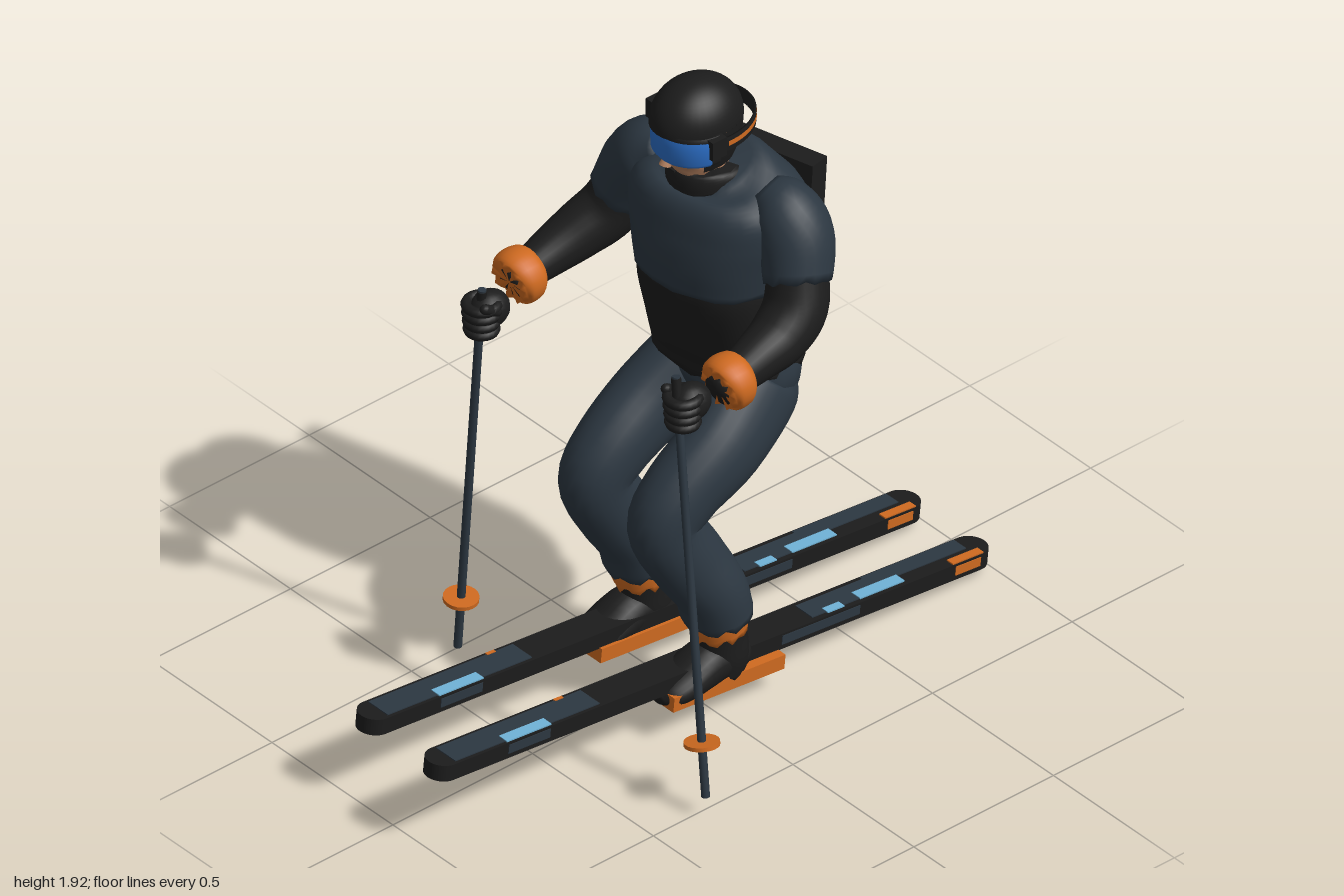
import * as THREE from 'three';

const mat = (name, color, double) => {
  const m = new THREE.MeshStandardMaterial({ color });
  m.name = name;
  if (double) m.side = THREE.DoubleSide;
  return m;
};

// Lofted tube through rings [x, y, z, sideRadius, depthRadius]; rag roughens the end edge
function loft(rings, { rag = 0, square = 2, around = 24, steps = 5 } = {}) {
  const path = new THREE.CatmullRomCurve3(rings.map(r => new THREE.Vector3(r[0], r[1], r[2])), false, 'catmullrom', 0.5);
  const size = new THREE.CatmullRomCurve3(rings.map(r => new THREE.Vector3(r[3], r[4] ?? r[3], 0)), false, 'catmullrom', 0.5);
  const n = (rings.length - 1) * steps, pos = [], idx = [];
  const soft = v => Math.sign(v) * Math.abs(v) ** (2 / square);
  for (let i = 0; i <= n; i++) {
    const c = path.getPoint(i / n), s = size.getPoint(i / n), t = path.getTangent(i / n);
    const side = new THREE.Vector3(1, 0, 0).addScaledVector(t, -t.x).normalize();
    const depth = t.clone().cross(side);
    for (let j = 0; j < around; j++) {
      const a = j / around * Math.PI * 2;
      const p = c.clone().addScaledVector(side, soft(Math.cos(a)) * s.x).addScaledVector(depth, soft(Math.sin(a)) * s.y);
      if (i === n) p.addScaledVector(t, rag * Math.sin(j * 2.3));
      pos.push(p.x, p.y, p.z);
    }
  }
  for (let i = 0; i < n; i++) for (let j = 0; j < around; j++) {
    const a = i * around + j, b = i * around + (j + 1) % around;
    idx.push(a, b, b + around, a, b + around, a + around);
  }
  const start = path.getPoint(0), end = path.getPoint(1), k = pos.length / 3;
  pos.push(start.x, start.y, start.z, end.x, end.y, end.z);
  for (let j = 0; j < around; j++) {
    const j2 = (j + 1) % around;
    idx.push(k, j2, j, k + 1, n * around + j, n * around + j2);
  }
  const g = new THREE.BufferGeometry();
  g.setAttribute('position', new THREE.Float32BufferAttribute(pos, 3));
  g.setIndex(idx);
  g.computeVertexNormals();
  return g;
}

// Curved band around the head; angle 0 faces forward
const band = (points, from, to) =>
  new THREE.LatheGeometry(points.map(p => new THREE.Vector2(...p)), 36, from, to - from);

export function createModel() {
  const model = new THREE.Group();
  model.name = 'skier';
  const slate = mat('slate cloth', 0x2c3741), black = mat('black', 0x1c1c1c, true), orange = mat('orange', 0xcf6a20, true);
  const blue = mat('lens blue', 0x2c6fc8, true), pale = mat('pale blue', 0x6fb2d6), skin = mat('skin', 0xb07d5c);
  const add = (parent, name, geo, material, x = 0, y = 0, z = 0) => {
    const m = new THREE.Mesh(geo, material);
    m.name = name;
    m.position.set(x, y, z);
    parent.add(m);
    return m;
  };
  const group = (name, x, y, z) => {
    const g = new THREE.Group();
    g.name = name;
    g.position.set(x, y, z);
    model.add(g);
    return g;
  };

  // Skis, with coloured patches [material, z, length, x, width]
  const half = 0.05, thick = 0.05;
  const patches = [[slate, 0.68, 0.52, 0, 0.08], [slate, -0.76, 0.34, -0.02, 0.05], [slate, -0.5, 0.3, 0, 0.07],
    [pale, 0.68, 0.16, 0.03, 0.034], [pale, -0.6, 0.16, 0.02, 0.036], [pale, -0.43, 0.06, 0.03, 0.025],
    [orange, -0.9, 0.11, 0.036, 0.026], [orange, 0.5, 0.03, -0.04, 0.01]];
  const outline = new THREE.Shape();
  outline.absarc(0, 0.95, half, 0, Math.PI);
  outline.absarc(0, -0.95, half, Math.PI, Math.PI * 2);
  const skiGeo = new THREE.ExtrudeGeometry(outline, { depth: thick, bevelEnabled: false, curveSegments: 12 });
  skiGeo.translate(0, 0, -thick / 2).rotateX(Math.PI / 2);
  for (const s of [-1, 1]) {
    const ski = group('ski', s * 0.14, 0.155, 0);
    ski.rotation.x = -0.105;
    add(ski, 'skiBody', skiGeo, black);
    patches.forEach(([m, z, len, x, w], i) =>
      add(ski, 'skiPatch', new THREE.BoxGeometry(w, 0.004, len), m, x, thick / 2 + 0.001 + (i > 2 ? 0.002 : 0), z));
    for (const e of [-1, 1]) for (const [m, z, len] of [[slate, 0.68, 0.15], [slate, -0.37, 0.28], [orange, -0.9, 0.09]])
      add(ski, 'skiEdgePatch', new THREE.BoxGeometry(0.004, 0.028, len), m, e * half, 0.004, z);
    add(ski, 'bindingPlate', new THREE.BoxGeometry(0.14, 0.045, 0.4), orange, s * 0.01, -0.045, -0.02);
  }

  // Legs, gaiters and boots
  for (const s of [-1, 1]) {
    const kx = s < 0 ? -0.17 : 0.115, fx = s * 0.16, hx = s < 0 ? -0.145 : 0.07;
    add(model, 'trouserLeg', loft([[hx, 0.98, -0.3, 0.08, 0.08], [hx, 0.92, -0.24, 0.11, 0.145],
      [kx, 0.825, -0.08, 0.108, 0.132], [kx, 0.74, 0.06, 0.104, 0.115], [kx, 0.65, 0.125, 0.098, 0.108],
      [(kx + fx) / 2, 0.52, 0.065, 0.1, 0.108], [fx, 0.41, 0.005, 0.107, 0.1], [fx, 0.325, -0.02, 0.112, 0.096]], { rag: 0.012 }), slate);
    add(model, 'gaiter', loft([[fx, 0.36, -0.02, 0.085, 0.088], [fx, 0.31, -0.022, 0.085, 0.087],
      [fx, 0.265, -0.03, 0.08, 0.082]], { rag: 0.018 }), orange);
    add(model, 'bootShaft', loft([[fx, 0.32, -0.025, 0.07, 0.075], [fx, 0.24, -0.035, 0.068, 0.075],
      [fx, 0.17, -0.04, 0.07, 0.078], [fx, 0.11, -0.035, 0.06, 0.07]]), black);
    add(model, 'bootFoot', loft([[fx, 0.15, -0.115, 0.03, 0.03], [fx, 0.155, -0.09, 0.055, 0.05],
      [fx, 0.165, 0.01, 0.07, 0.068], [fx, 0.145, 0.1, 0.073, 0.05], [fx, 0.13, 0.165, 0.06, 0.036],
      [fx, 0.125, 0.195, 0.025, 0.015]]), black);
  }
  add(model, 'trouserSeat', loft([[-0.045, 0.84, -0.25, 0.1, 0.08], [-0.045, 0.89, -0.255, 0.185, 0.145],
    [-0.045, 0.96, -0.26, 0.212, 0.165], [-0.045, 1.04, -0.25, 0.2, 0.15]]), slate);

  // Torso, slightly twisted
  const torso = group('torso', -0.045, 0, -0.2);
  torso.rotation.y = 0.2;
  add(torso, 'jacketLower', loft([[0, 1.34, -0.01, 0.2, 0.18], [0, 1.3, -0.01, 0.22, 0.2], [0, 1.15, -0.035, 0.217, 0.188],
    [0, 1.05, -0.05, 0.217, 0.175], [0, 0.985, -0.05, 0.214, 0.165]], { square: 2.5, rag: 0.012 }), black);
  add(torso, 'jacketUpper', loft([[0, 1.645, 0.01, 0.1, 0.095], [0, 1.615, 0, 0.18, 0.14], [0, 1.56, -0.005, 0.245, 0.18],
    [0, 1.48, -0.01, 0.255, 0.2], [0, 1.39, -0.01, 0.24, 0.21], [0, 1.305, -0.01, 0.226, 0.207]], { square: 2.4, rag: 0.004 }), slate);
  add(model, 'collar', loft([[-0.06, 1.61, -0.18, 0.115, 0.12], [-0.06, 1.635, -0.175, 0.112, 0.115],
    [-0.06, 1.65, -0.175, 0.1, 0.1]], { rag: 0.01 }), black);

  // Backpack
  const pack = group('backpack', -0.105, 1.33, -0.415);
  pack.rotation.set(-0.09, 0.26, 0, 'YXZ');
  add(pack, 'packBody', new THREE.BoxGeometry(0.35, 0.44, 0.07), black);
  add(pack, 'packStripe', new THREE.BoxGeometry(0.21, 0.035, 0.006), orange, 0, 0, -0.037);

  // Arms: sleeve, forearm, cuff
  const arms = [
    { sh: [[-0.2, 1.605, -0.16, 0.05], [-0.265, 1.565, -0.165, 0.095], [-0.32, 1.49, -0.165, 0.108], [-0.37, 1.385, -0.14, 0.093]],
      fo: [[-0.355, 1.42, -0.15, 0.082], [-0.385, 1.33, -0.11, 0.087], [-0.41, 1.28, -0.03, 0.08], [-0.425, 1.24, 0.07, 0.066], [-0.43, 1.2, 0.21, 0.045]],
      cuff: [-0.43, 1.21, 0.17], fist: [-0.41, 1.165, 0.315],
      pole: [[-0.41, 1.245, 0.325], [-0.505, 0, 0.33]], basket: 0.865 },
    { sh: [[0.11, 1.605, -0.235, 0.05], [0.165, 1.565, -0.25, 0.095], [0.215, 1.49, -0.255, 0.108], [0.262, 1.385, -0.225, 0.095]],
      fo: [[0.25, 1.42, -0.235, 0.084], [0.28, 1.32, -0.2, 0.09], [0.295, 1.265, -0.13, 0.084], [0.305, 1.24, -0.04, 0.07], [0.315, 1.2, 0.11, 0.046]],
      cuff: [0.315, 1.215, 0.065], fist: [0.29, 1.185, 0.2],
      pole: [[0.27, 1.28, 0.22], [0.52, 0.06, 0.33]], basket: 0.872 }];
  const up = new THREE.Vector3(0, 1, 0);
  for (const a of arms) {
    add(model, 'sleeve', loft(a.sh, { rag: 0.006 }), slate);
    add(model, 'forearm', loft(a.fo), black);
    const [x, y, z] = a.cuff;
    add(model, 'cuff', loft([[x, y, z - 0.04, 0.066], [x, y, z - 0.02, 0.08], [x, y, z + 0.02, 0.081], [x, y - 0.005, z + 0.042, 0.064]], { rag: 0.012 }), orange);

    // Pole with basket
    const top = new THREE.Vector3(...a.pole[0]), tip = new THREE.Vector3(...a.pole[1]);
    const axis = top.clone().sub(tip), len = axis.length();
    const pole = group('skiPole', 0, 0, 0);
    pole.position.copy(tip);
    pole.quaternion.setFromUnitVectors(up, axis.normalize());
    add(pole, 'poleShaft', new THREE.CylinderGeometry(0.012, 0.012, len, 10), slate, 0, len / 2, 0);
    add(pole, 'poleGrip', new THREE.CylinderGeometry(0.014, 0.014, 0.14, 10), black, 0, len - 0.075, 0);
    add(pole, 'poleBasket', new THREE.CylinderGeometry(0.05, 0.05, 0.012, 20), orange, 0, len * (1 - a.basket), 0);

    // Gloved hand wrapped around the grip
    const hand = group('glove', ...a.fist);
    add(hand, 'palm', new THREE.SphereGeometry(1, 16, 12), black, 0, 0.005, -0.015).scale.set(0.052, 0.056, 0.062);
    for (let i = 0; i < 4; i++)
      add(hand, 'finger', new THREE.TorusGeometry(0.043 - i * 0.002, 0.015, 8, 20), black, 0, 0.033 - i * 0.027, 0.012).rotation.x = Math.PI / 2;
    const thumb = add(hand, 'thumb', new THREE.CapsuleGeometry(0.015, 0.05, 4, 10), black, Math.sign(x) * -0.042, 0.035, 0.015);
    thumb.rotation.x = 1;
  }

  // Head
  const head = group('head', -0.062, 1.8, -0.14);
  add(head, 'neck', loft([[0, -0.22, -0.03, 0.075], [0, -0.1, -0.02, 0.07], [0, -0.04, -0.01, 0.07]]), skin);
  add(head, 'face', loft([[0.005, -0.178, 0.058, 0.022, 0.02], [0.005, -0.165, 0.045, 0.045, 0.045], [0.003, -0.135, 0.026, 0.068, 0.074],
    [0, -0.09, 0.012, 0.082, 0.092], [0, 0, 0, 0.09, 0.105]]), skin);
  const nose = add(head, 'nose', new THREE.ConeGeometry(0.018, 0.06, 10), skin, 0.008, -0.078, 0.108);
  nose.rotation.x = -0.35;
  add(head, 'mouth', new THREE.BoxGeometry(0.042, 0.006, 0.006), black, 0.006, -0.127, 0.1);
  add(head, 'helmetDome', new THREE.SphereGeometry(1, 36, 16, 0, Math.PI * 2, 0, Math.PI / 2), black).scale.set(0.115, 0.122, 0.14);
  const lower = add(head, 'helmetSides', band([[0.8, -0.125], [0.92, -0.085], [0.98, -0.04], [1, 0]], 1.15, Math.PI * 2 - 1.15), black);
  lower.scale.set(0.115, 1, 0.14);

  // Goggles and strap
  const goggles = new THREE.Group();
  goggles.name = 'goggles';
  goggles.position.set(0.014, -0.04, 0.02);
  goggles.rotation.y = 0.06;
  head.add(goggles);
  const lens = add(goggles, 'lens', band([[0.9, -0.044], [0.99, -0.03], [1, 0.02], [0.96, 0.04]], -1.25, 1.25), blue);
  const frame = add(goggles, 'goggleFrame', band([[0.88, -0.045], [0.95, -0.03], [0.95, 0.04], [0.9, 0.05]], -1.5, 1.5), black);
  lens.scale.set(0.118, 1, 0.12);
  frame.scale.set(0.12, 1, 0.12);
  const strap = add(head, 'strap', band([[0.96, -0.022], [1, -0.022], [1, 0.022], [0.96, 0.022], [0.96, -0.022]], 1.2, Math.PI * 2 - 1.2), black, 0, -0.02, -0.01);
  const stripe = add(head, 'strapStripe', band([[1.01, -0.008], [1.01, 0.008]], 1.5, Math.PI * 2 - 1.5), orange, 0, -0.018, -0.01);
  for (const m of [strap, stripe]) m.scale.set(0.138, 1, 0.168);
  for (const s of [-1, 1])
    add(head, 'strapClip', new THREE.BoxGeometry(0.024, 0.06, 0.05), black, s * 0.127, -0.022, 0.035);

  return model;
}
